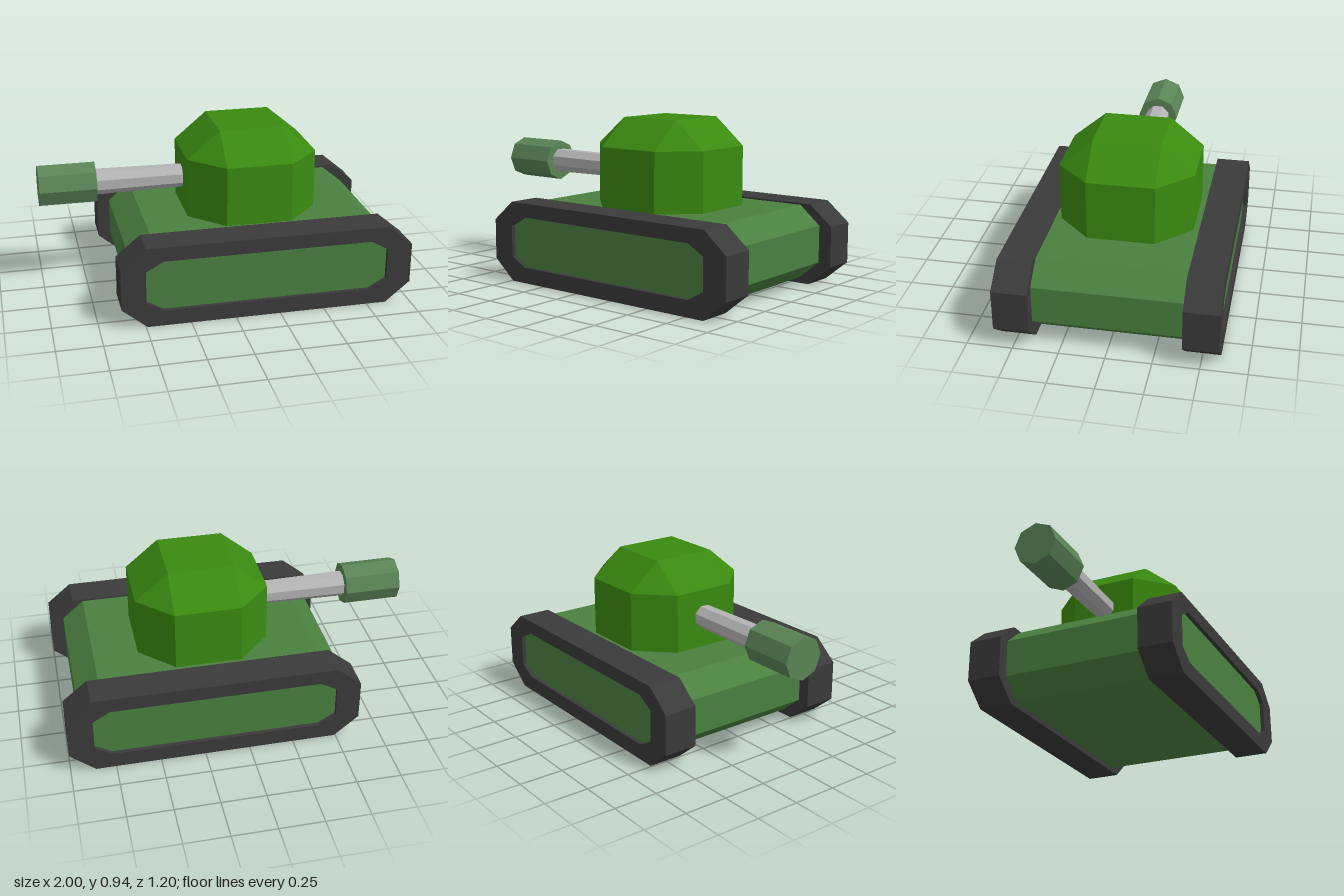
import * as THREE from 'three';
import { ConvexGeometry } from 'three/addons/geometries/ConvexGeometry.js';

const paint = (color) => new THREE.MeshStandardMaterial({ color, flatShading: true });

// Corners of a rectangle with chamfered corners (cx, cy = chamfer sizes)
function chamferedRect(x0, x1, y0, y1, cx, cy) {
  return [
    [x0 + cx, y0], [x1 - cx, y0], [x1, y0 + cy], [x1, y1 - cy],
    [x1 - cx, y1], [x0 + cx, y1], [x0, y1 - cy], [x0, y0 + cy],
  ].map(([x, y]) => new THREE.Vector2(x, y));
}

// Extrudes an outline along z between z0 and z1
function slab(outline, z0, z1, hole) {
  const shape = new THREE.Shape(outline);
  if (hole) shape.holes.push(new THREE.Path(hole));
  return new THREE.ExtrudeGeometry(shape, { depth: z1 - z0, bevelEnabled: false }).translate(0, 0, z0);
}

// Eight-sided rod along x; turn rotates its facets
function rod(x0, x1, r0, r1, y, turn) {
  return new THREE.CylinderGeometry(r1, r0, x1 - x0, 8)
    .rotateY(turn).rotateZ(-Math.PI / 2).translate((x0 + x1) / 2, y, 0);
}

export function createModel() {
  const model = new THREE.Group();
  const add = (name, geometry, material) => {
    const mesh = new THREE.Mesh(geometry, material);
    mesh.name = name;
    model.add(mesh);
  };
  const hullGreen = paint(0x4a8040);
  const trackBlack = paint(0x3a3a3a);

  // Hull between the tracks
  add('hull', slab(chamferedRect(-0.56, 0.925, 0.03, 0.45, 0.125, 0.105), -0.42, 0.42), hullGreen);

  // Track loops with recessed side panels
  const outer = chamferedRect(-0.63, 1, 0, 0.46, 0.138, 0.115);
  const inner = chamferedRect(-0.495, 0.86, 0.09, 0.38, 0.097, 0.055);
  for (const [side, s] of [['left', 1], ['right', -1]]) {
    const span = (a, b) => (s > 0 ? [a, b] : [-b, -a]);
    add(side + 'Track', slab(outer, ...span(0.405, 0.598), inner), trackBlack);
    add(side + 'TrackPanel', slab(inner, ...span(0.41, 0.575)), hullGreen);
  }

  // Turret: eight-sided wall narrowing to a rectangular roof
  const points = [];
  for (const p of chamferedRect(-0.187, 0.552, -0.372, 0.372, 0.185, 0.186)) {
    points.push(new THREE.Vector3(p.x, 0.44, p.y), new THREE.Vector3(p.x, 0.787, p.y));
  }
  for (const x of [-0.002, 0.367]) {
    for (const z of [-0.186, 0.186]) points.push(new THREE.Vector3(x, 0.942, z));
  }
  add('turret', new ConvexGeometry(points), paint(0x3a8a10));

  // Gun pointing along -x
  add('barrel', rod(-0.69, -0.15, 0.073, 0.066, 0.63, Math.PI / 8), paint(0xb4b4b4));
  add('muzzle', rod(-1, -0.68, 0.12, 0.12, 0.63, 0), paint(0x5a8456));

  return model;
}
